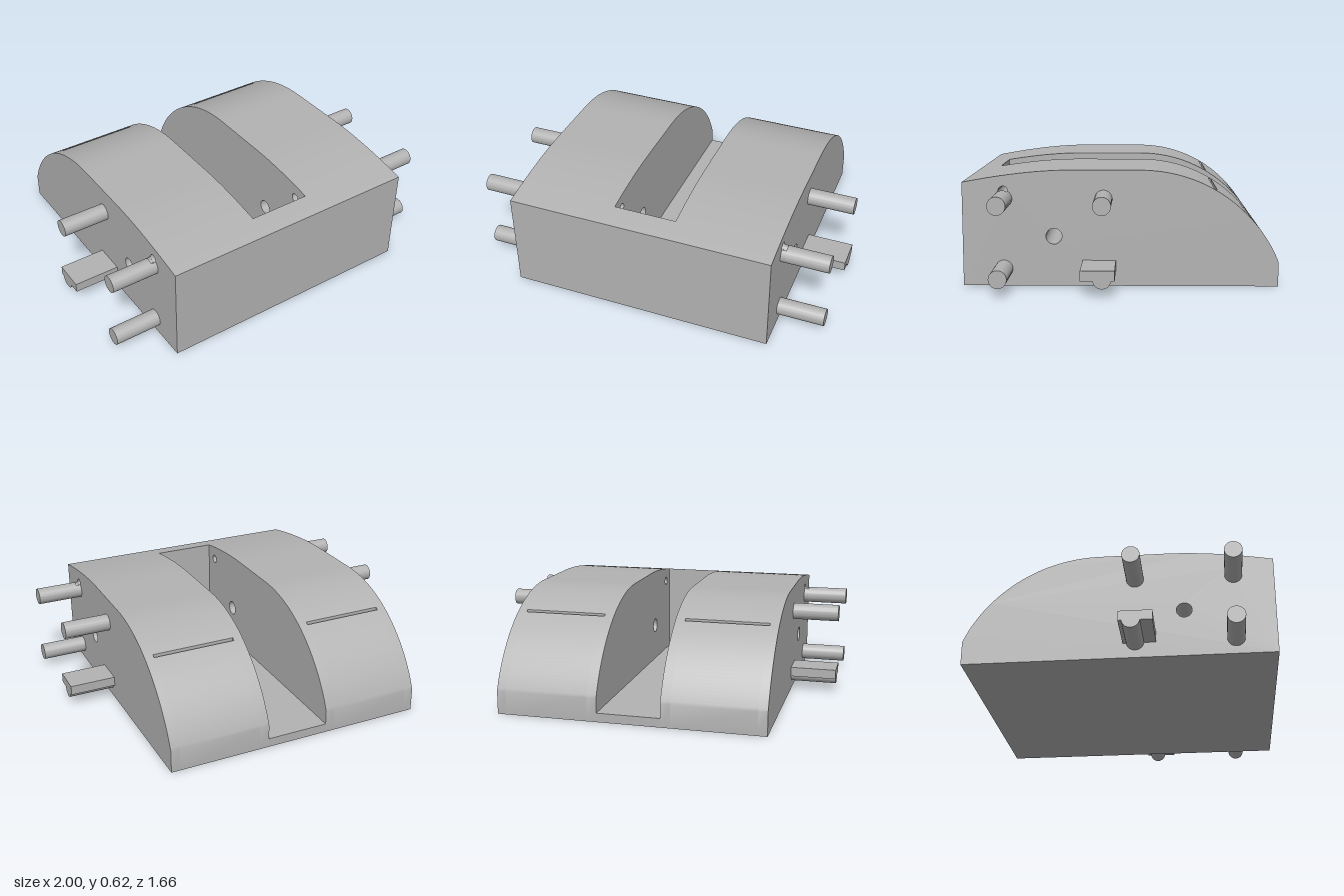
import * as THREE from 'three';
import { toCreasedNormals } from 'three/addons/utils/BufferGeometryUtils.js';

const V = (z, y) => new THREE.Vector2(-z, y); // side-profile point

export function createModel() {
  const model = new THREE.Group();
  const grey = new THREE.MeshStandardMaterial({ color: 0xb2b2b2 });
  grey.name = 'plain grey';

  // Extrude a side profile across the width from x0 to x1
  function slab(name, shape, x0, x1) {
    let g = new THREE.ExtrudeGeometry(shape, { depth: x1 - x0, bevelEnabled: false, curveSegments: 24 });
    g = toCreasedNormals(g, 0.45);
    g.rotateY(Math.PI / 2);
    g.translate(x0, 0, 0);
    const mesh = new THREE.Mesh(g, grey);
    mesh.name = name;
    model.add(mesh);
  }

  function disc(z, y, r) {
    const s = new THREE.Shape();
    s.absarc(-z, y, r, 0, Math.PI * 2, false);
    return s;
  }

  // Curved roof line, front to back
  const roof = [
    ...new THREE.QuadraticBezierCurve(V(0.83, 0.55), V(0.5, 0.615), V(0.25, 0.615)).getPoints(16),
    ...new THREE.CubicBezierCurve(V(-0.1, 0.615), V(-0.5, 0.615), V(-0.75, 0.34), V(-0.83, 0.13)).getPoints(40),
  ];
  function roofY(z) {
    const i = roof.findIndex((p) => p.x > -z);
    const a = roof[i - 1], b = roof[i];
    return a.y + (b.y - a.y) * ((-z - a.x) / (b.x - a.x));
  }

  const holes = [[0.35, 0.265, 0.042], [0.615, 0.505, 0.025]];
  function sideProfile(slotted) {
    let line = roof;
    if (slotted) {
      // narrow groove across the roof
      const z0 = -0.492, z1 = -0.508, depth = 0.05;
      line = [
        ...roof.filter((p) => -p.x > z0),
        V(z0, roofY(z0)), V(z0, roofY(z0) - depth), V(z1, roofY(z0) - depth), V(z1, roofY(z1)),
        ...roof.filter((p) => -p.x < z1),
      ];
    }
    const s = new THREE.Shape([V(0.83, 0), ...line, V(-0.83, 0)]);
    for (const [z, y, r] of holes) s.holes.push(disc(z, y, r));
    return s;
  }

  // Two body halves, each with a groove in the middle of its roof
  const cuts = [0.175, 0.228, 0.69, 0.74];
  for (let i = 0; i < 3; i++) {
    slab('bodySideLeft', sideProfile(i === 1), cuts[i], cuts[i + 1]);
    slab('bodySideRight', sideProfile(i === 1), -cuts[i + 1], -cuts[i]);
  }

  // Channel floor and front wall between the halves
  const floorY = 0.05, wallZ = 0.7;
  slab('channelFloor', new THREE.Shape([
    V(0.83, 0), ...roof.filter((p) => -p.x > wallZ), V(wallZ, roofY(wallZ)),
    V(wallZ, floorY), V(-0.83, floorY), V(-0.83, 0),
  ]), -0.175, 0.175);

  // Foot of the upper front peg, notched where the small hole passes
  const R = 0.047, pegZ = 0.615, pegY = 0.463;
  const notched = new THREE.Shape();
  notched.absarc(-pegZ, pegY, R, Math.PI - 1.01, Math.PI * 2 + 1.01, false);
  notched.absarc(-pegZ, pegY + 0.04, 0.025, 0, Math.PI, true);

  // Flat bracket with a half-round underside
  const bracket = new THREE.Shape();
  bracket.moveTo(-0.2, 0.137);
  bracket.lineTo(-0.2, 0.084);
  bracket.lineTo(-0.137, 0.084);
  bracket.absarc(-0.09, 0.09, R, Math.PI + 0.128, Math.PI * 2 - 0.128, false);
  bracket.lineTo(-0.025, 0.084);
  bracket.lineTo(-0.025, 0.137);

  // Pegs and bracket on both sides
  for (const side of [1, -1]) {
    const label = side > 0 ? 'Left' : 'Right';
    const add = (name, shape, a, b) =>
      slab(name + label, shape, Math.min(side * a, side * b), Math.max(side * a, side * b));
    add('upperFrontPegFoot', notched, 0.73, 0.765);
    add('upperFrontPeg', disc(pegZ, pegY, R), 0.765, 1);
    add('lowerFrontPeg', disc(pegZ, 0.09, R), 0.74, 1);
    add('upperMiddlePeg', disc(0.09, pegY, R), 0.74, 1);
    add('bracket', bracket, 0.74, 1);
  }
  return model;
}
